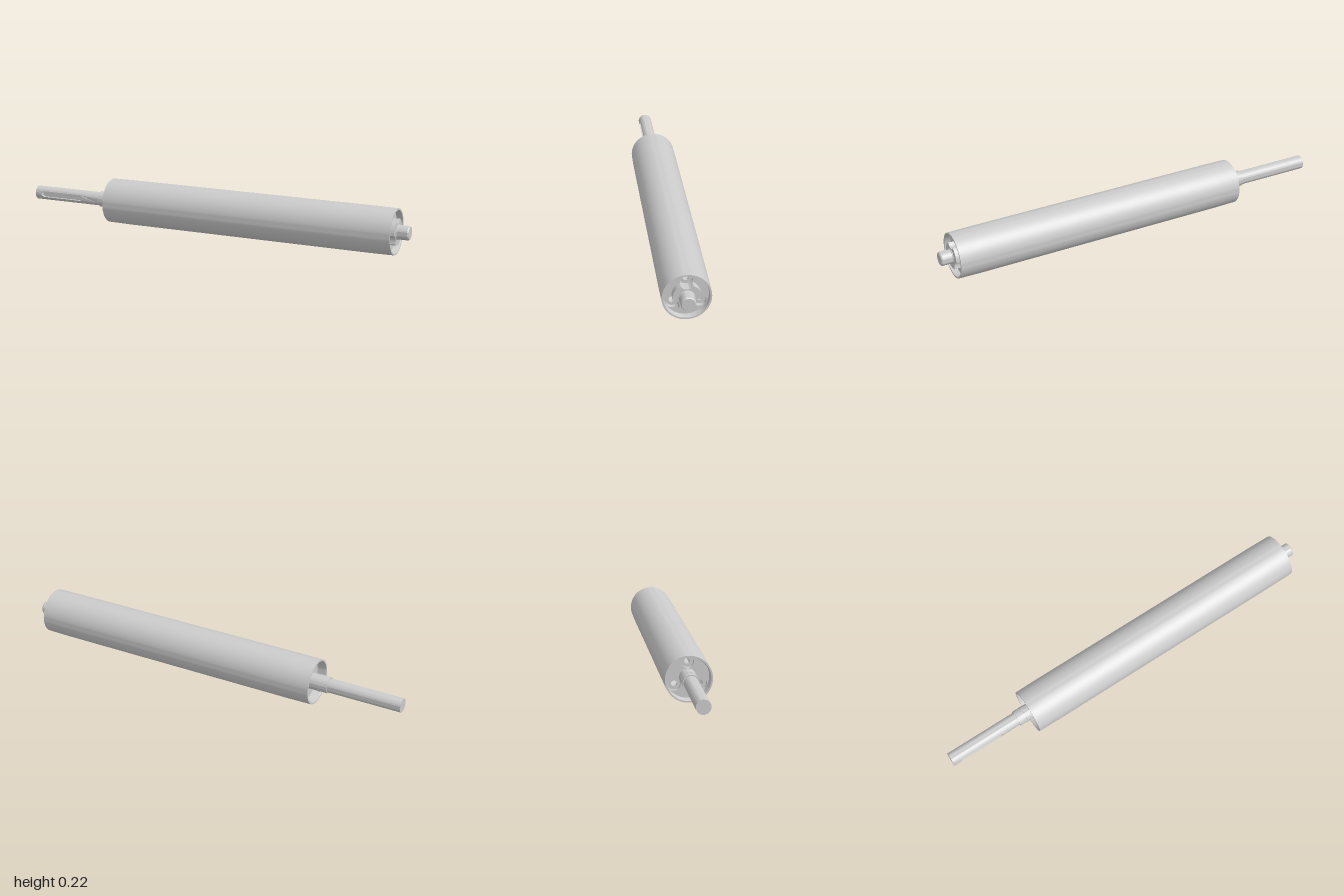
import * as THREE from 'three';
import { toCreasedNormals } from 'three/addons/utils/BufferGeometryUtils.js';

const AXIS_Y = 0.112;
const HOLE_RING = 0.07, BORE_R = 0.0134, POCKET_R = 0.0286;
const HOLE_ANGLES = [0, 1, 2].map(i => Math.PI / 2 + i * Math.PI * 2 / 3);
const material = new THREE.MeshStandardMaterial({ color: 0xcccccc });
const thinMaterial = new THREE.MeshStandardMaterial({ color: 0xcccccc, side: THREE.DoubleSide });

function addMesh(parent, name, geometry, mat = material) {
  const mesh = new THREE.Mesh(toCreasedNormals(geometry, Math.PI / 6), mat);
  mesh.name = name;
  parent.add(mesh);
  return mesh;
}

// Revolves [radius, x] pairs about the x axis
function turned(profile, phiStart = 0, phiLength = Math.PI * 2) {
  const points = profile.map(([r, x]) => new THREE.Vector2(r, x));
  return new THREE.LatheGeometry(points, 72, phiStart, phiLength).rotateZ(-Math.PI / 2);
}

function circle(Type, r, x = 0, y = 0) {
  const path = new Type();
  path.absarc(x, y, r, 0, Math.PI * 2, false);
  return path;
}

// Plate across the axis, from x0 to x1
function plate(shape, x0, x1) {
  return new THREE.ExtrudeGeometry(shape, { depth: x1 - x0, bevelEnabled: false, curveSegments: 36 })
    .rotateY(Math.PI / 2).translate(x0, 0, 0);
}

function drilledDisc(outerR, holeR) {
  const shape = circle(THREE.Shape, outerR);
  for (const a of HOLE_ANGLES)
    shape.holes.push(circle(THREE.Path, holeR, HOLE_RING * Math.cos(a), HOLE_RING * Math.sin(a)));
  shape.holes.push(circle(THREE.Path, 0.033));
  return shape;
}

// Round hub with a bite where each pocket passes
function hubShape(radius) {
  const points = [];
  for (let i = 0; i < 180; i++) {
    const t = i / 180 * Math.PI * 2;
    let r = radius;
    for (const a of HOLE_ANGLES) {
      const s = POCKET_R ** 2 - (HOLE_RING * Math.sin(t - a)) ** 2;
      if (s > 0 && Math.cos(t - a) > 0)
        r = Math.min(r, HOLE_RING * Math.cos(t - a) - Math.sqrt(s));
    }
    points.push(new THREE.Vector2(r * Math.cos(t), r * Math.sin(t)));
  }
  return new THREE.Shape(points);
}

// Drive end of the shaft with a round-ended keyway on its front
function driveShaft() {
  const group = new THREE.Group();
  group.name = 'driveShaft';
  const r = 0.034, x0 = -1, x1 = -0.63, h = 0.022, floorZ = 0.018;
  const gap = Math.asin(h / r);
  addMesh(group, 'driveShaftBody', turned([[r, x0], [r, x1]], gap, Math.PI * 2 - 2 * gap));
  addMesh(group, 'driveShaftEnd', turned([[0, x0], [r, x0]]));

  const outline = [];
  for (let i = 0; i <= 10; i++) outline.push(new THREE.Vector2(x1, h * (i / 5 - 1)));
  for (let i = 0; i <= 10; i++) outline.push(new THREE.Vector2(x0, h * (1 - i / 5)));
  const strip = new THREE.Shape(outline);
  const slot = new THREE.Path(), w = 0.015;
  slot.absarc(-0.725 - w, 0, w, -Math.PI / 2, Math.PI / 2, false);
  slot.absarc(-0.965 + w, 0, w, Math.PI / 2, Math.PI * 1.5, false);
  strip.holes.push(slot);
  const geometry = new THREE.ExtrudeGeometry(strip, { depth: 1, bevelEnabled: false, curveSegments: 12 });
  // Bend the outer face onto the shaft's curve, set the inner face at the slot floor
  const p = geometry.attributes.position;
  for (let i = 0; i < p.count; i++)
    p.setZ(i, p.getZ(i) > 0.5 ? Math.sqrt(r * r - p.getY(i) ** 2) : floorZ);
  addMesh(group, 'keywaySurround', geometry);
  addMesh(group, 'keywayFloor', new THREE.PlaneGeometry(0.25, 0.034).translate(-0.845, 0, floorZ), thinMaterial);
  return group;
}

export function createModel() {
  const model = new THREE.Group();
  model.name = 'conveyorRoller';
  const roller = new THREE.Group();
  roller.name = 'roller';
  roller.position.y = AXIS_Y;
  model.add(roller);

  // Slightly crowned hollow shell with chamfered bore
  addMesh(roller, 'rollerShell', turned([
    [0.1027, -0.565], [0.1105, -0.565], [0.112, -0.45], [0.112, 0.82], [0.1105, 0.935],
    [0.1027, 0.935], [0.1, 0.925], [0.1, -0.555], [0.1027, -0.565],
  ]));

  // End discs: drilled web plus counterbored face
  for (const [side, web, face] of [
    ['left', [0.87, 0.885], [0.885, 0.905]],
    ['right', [-0.5, -0.485], [-0.52, -0.5]],
  ]) {
    addMesh(roller, side + 'EndWeb', plate(drilledDisc(0.1005, BORE_R), ...web));
    addMesh(roller, side + 'EndFace', plate(drilledDisc(0.1005, POCKET_R), ...face));
  }
  addMesh(roller, 'leftHub', plate(hubShape(0.064), 0.885, 0.941));

  // Shaft core with shoulders and the chamfered stub
  addMesh(roller, 'shaft', turned([
    [0, -0.63], [0.0395, -0.63], [0.0395, -0.48], [0.037, -0.48], [0.037, 0.944],
    [0.034, 0.946], [0.034, 0.994], [0.03, 1], [0, 1],
  ]));
  addMesh(roller, 'retainingRing', turned([
    [0.039, -0.59], [0.041, -0.59], [0.041, -0.582], [0.039, -0.582],
  ]));
  roller.add(driveShaft());
  return model;
}
